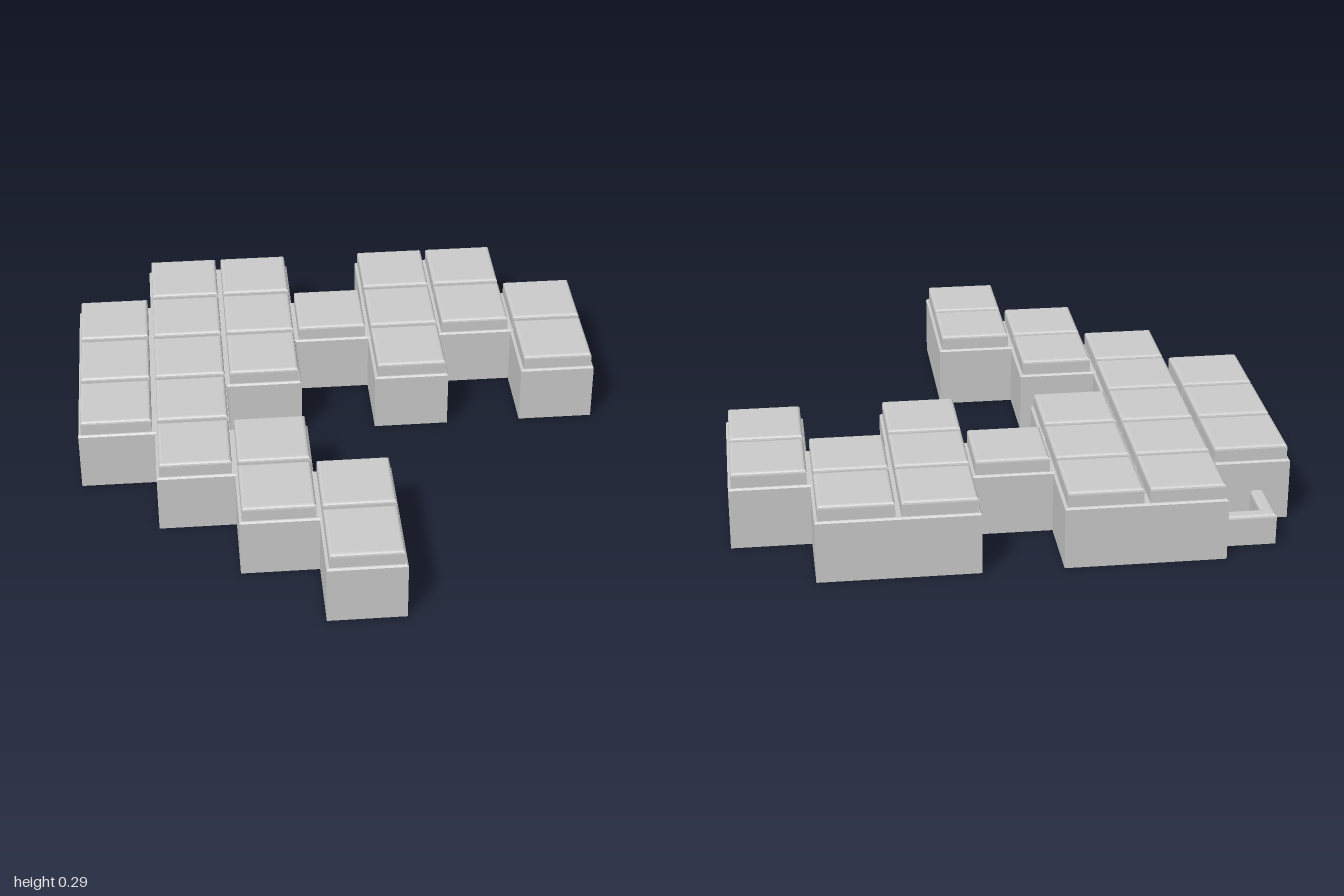
import * as THREE from 'three';

const CELL = 2 / 7;
const material = new THREE.MeshStandardMaterial({ color: 0xcccccc });

// Upright slab from an [x, z] outline, with a bevelled top rim and a sharp, flat bottom
function slab(name, outline, y0, y1, bevel, segments) {
  const shape = new THREE.Shape(outline.map(([x, z]) => new THREE.Vector2(x, -z)));
  const geometry = new THREE.ExtrudeGeometry(shape, {
    depth: y1 - y0 - bevel,
    bevelEnabled: true,
    bevelThickness: bevel,
    bevelSize: bevel,
    bevelOffset: -bevel,
    bevelSegments: segments,
  });
  // Flatten the lower bevel into the bottom face
  const p = geometry.attributes.position;
  for (let i = 0; i < p.count; i++) p.setZ(i, Math.max(0, p.getZ(i)));
  geometry.rotateX(-Math.PI / 2);
  geometry.computeVertexNormals();
  const mesh = new THREE.Mesh(geometry, material);
  mesh.name = name;
  mesh.position.y = y0;
  return mesh;
}

export function createModel() {
  const model = new THREE.Group();
  model.name = 'pixelTag';

  // Base: stepped outline in cell units, from the back row round
  const steps = [
    [1, 0], [3, 0], [3, 1], [4, 1], [4, 0], [6, 0], [6, 1], [7, 1],
    [7, 3], [6, 3], [6, 2], [5, 2], [5, 3], [4, 3], [4, 2], [3, 2],
    [3, 3], [2, 3], [2, 4], [3, 4], [3, 5], [4, 5], [4, 7], [3, 7],
    [3, 6], [2, 6], [2, 5], [1, 5], [1, 4], [0, 4], [0, 1], [1, 1],
  ];
  const toWorld = ([c, r]) => [c * CELL - 1, r * CELL - 1];
  model.add(slab('base', steps.map(toWorld), 0, 0.23, 0.006, 1));

  // One raised tile per filled cell, rows from back to front
  const rows = ['.##.##.', '#######', '###.#.#', '##.....', '.##....', '..##...', '...#...'];
  const h = 0.1325;
  const tile = slab('tile', [[-h, -h], [h, -h], [h, h], [-h, h]], 0.228, 0.286, 0.012, 3);
  const tiles = new THREE.Group();
  tiles.name = 'tiles';
  rows.forEach((row, r) => [...row].forEach((mark, c) => {
    if (mark !== '#') return;
    const copy = tile.clone();
    const [x, z] = toWorld([c + 0.5, r + 0.5]);
    copy.position.set(x, tile.position.y, z);
    tiles.add(copy);
  }));
  model.add(tiles);

  // Corner loop bridging the notch, its ends sunk into the base
  const loop = [
    [-0.91, -0.91], [-0.69, -0.91], [-0.69, -0.86],
    [-0.86, -0.86], [-0.86, -0.69], [-0.91, -0.69],
  ];
  model.add(slab('cornerLoop', loop, 0, 0.115, 0.012, 3));

  return model;
}
